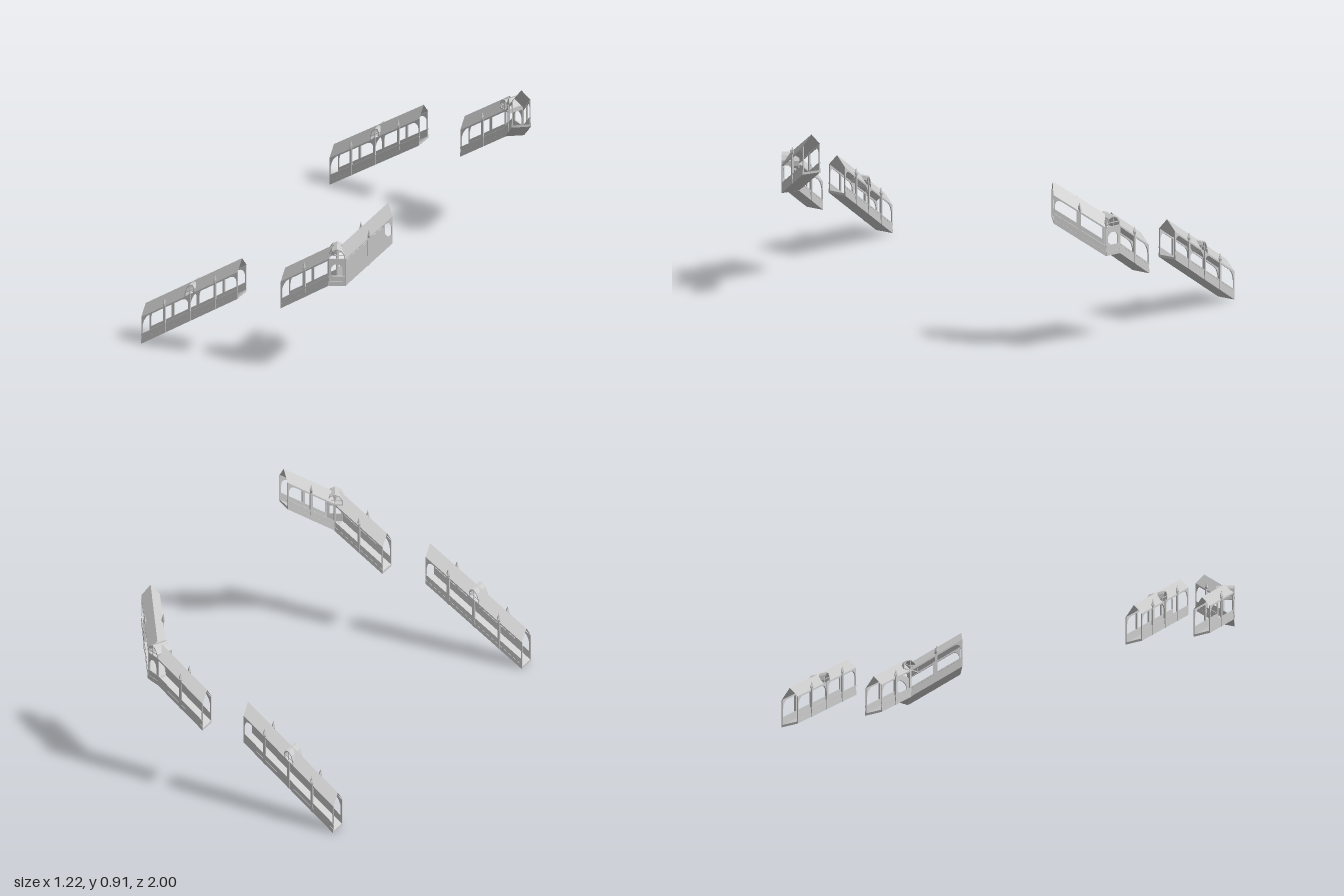
import * as THREE from 'three';

const mat = new THREE.MeshStandardMaterial({ color: 0xcccccc, flatShading: true, side: THREE.DoubleSide });
const HALF = 0.045, EAVE = 0.145, RIDGE = 0.2, T = 0.005;

// Sheared frame: u runs along the ramp, y stays vertical, w points outward
function makeFrame(p, q, outward) {
  const P = new THREE.Vector3(...p), d = new THREE.Vector3(...q).sub(P);
  const L = Math.hypot(d.x, d.z);
  const U = d.divideScalar(L);
  const W = outward ? new THREE.Vector3(...outward) : new THREE.Vector3(-U.z, 0, U.x);
  const M = new THREE.Matrix4().makeBasis(U, new THREE.Vector3(0, 1, 0), W).setPosition(P);
  return { L, M };
}

function add(group, name, geo, frame) {
  geo.applyMatrix4(frame.M);
  geo.computeVertexNormals();
  const mesh = new THREE.Mesh(geo, mat);
  mesh.name = name;
  group.add(mesh);
}

const box = (u0, u1, y0, y1, w0, w1) =>
  new THREE.BoxGeometry(u1 - u0, y1 - y0, w1 - w0).translate((u0 + u1) / 2, (y0 + y1) / 2, (w0 + w1) / 2);

const poly = pts => new THREE.Shape(pts.map(p => new THREE.Vector2(...p)));

const extrude = (shape, w0, depth) =>
  new THREE.ExtrudeGeometry(shape, { depth, bevelEnabled: false, curveSegments: 5 }).translate(0, 0, w0);

// Bay opening, with a curved bracket in the chosen top corners
function opening(a, b, curveLeft, curveRight) {
  const y0 = 0.052, y1 = 0.136, rx = 0.032, ry = 0.042;
  const s = new THREE.Path();
  s.moveTo(a, y0);
  s.lineTo(b, y0);
  if (curveRight) {
    s.lineTo(b, y1 - ry);
    s.quadraticCurveTo(b - 0.004, y1 - 0.006, b - rx, y1);
  } else s.lineTo(b, y1);
  if (curveLeft) {
    s.lineTo(a + rx, y1);
    s.quadraticCurveTo(a + 0.004, y1 - 0.006, a, y1 - ry);
  } else s.lineTo(a, y1);
  s.closePath();
  return s;
}

// Faceted arch outline of a roof vault
const archPoints = (c, r, base) => [
  [c - r, base], [c - r, 0.165], [c - r * 0.62, 0.188], [c, 0.198],
  [c + r * 0.62, 0.188], [c + r, 0.165], [c + r, base]];

// Open-ended vault crossing the roof, with slim bars at both mouths
function vault(group, frame, c, r, w0, w1) {
  const base = 0.14;
  const inner = archPoints(c, r - 0.004, base).map(([x, y]) => [x, y > base ? y - 0.004 : y]);
  add(group, 'roofVault', extrude(poly([...archPoints(c, r, base), ...inner.reverse()]), w0, w1 - w0), frame);
  for (const w of [w0, w1 - 0.004]) {
    add(group, 'vaultMullion', box(c - 0.0015, c + 0.0015, base, 0.195, w, w + 0.004), frame);
    add(group, 'vaultSill', box(c - r, c + r, base, base + 0.006, w, w + 0.004), frame);
    add(group, 'vaultBar', box(c - r, c + r, 0.163, 0.166, w, w + 0.004), frame);
  }
}

// Straight sloping gallery; stops are the post positions from 0 to 1
function gallery(name, frame, stops, curves, dormer) {
  const g = new THREE.Group(), L = frame.L;
  g.name = name;
  add(g, 'floor', box(0, L, 0, 0.012, -HALF, HALF), frame);

  for (const side of [-1, 1]) {
    // Wall with one opening per bay
    const wall = poly([[0, 0], [L, 0], [L, EAVE], [0, EAVE]]);
    for (let i = 0; i < stops.length - 1; i++)
      wall.holes.push(opening(stops[i] * L + 0.006, stops[i + 1] * L - 0.006, curves[i][0], curves[i][1]));
    add(g, 'sideWall', extrude(wall, side > 0 ? HALF - T : -HALF, T), frame);

    // Plinth and sill rail along the parapet
    const band = (n, y0, y1) =>
      add(g, n, box(0, L, y0, y1, side * HALF - 0.0015, side * HALF + 0.0015), frame);
    band('plinth', 0, 0.022);
    band('sillRail', 0.044, 0.052);

    // Posts with pointed finials
    stops.slice(1, -1).forEach((s, i) => {
      const u = s * L, w = side * HALF;
      add(g, 'post', box(u - 0.006, u + 0.006, 0, EAVE + 0.004, w - 0.004, w + 0.004), frame);
      if (dormer && i === 1) return;
      add(g, 'finialBase', new THREE.CylinderGeometry(0.009, 0.005, 0.012, 4).translate(u, EAVE + 0.008, w), frame);
      add(g, 'finial', new THREE.ConeGeometry(0.009, 0.032, 4).translate(u, EAVE + 0.03, w), frame);
    });

    // Roof slope, notched where the vault breaks through
    const notch = dormer ? archPoints(L / 2, 0.026, EAVE) : [];
    const slope = new THREE.ShapeGeometry(poly([[0, EAVE], ...notch, [L, EAVE], [L, RIDGE], [0, RIDGE]]));
    const pos = slope.attributes.position;
    for (let i = 0; i < pos.count; i++)
      pos.setZ(i, side * HALF * (RIDGE - pos.getY(i)) / (RIDGE - EAVE));
    add(g, 'roofSlope', slope, frame);
  }
  if (dormer) vault(g, frame, L / 2, 0.026, -HALF, HALF);
  return g;
}

// Level corner landing between two galleries
function landing(frame) {
  const g = new THREE.Group(), L = frame.L;
  g.name = 'cornerLanding';
  const floor = new THREE.ExtrudeGeometry(poly([[0, 0], [L, 0], [L / 2, 0.08]]), { depth: 0.012, bevelEnabled: false });
  add(g, 'landingFloor', floor.rotateX(-Math.PI / 2), frame);

  // Outer wall with a round-headed window
  const wall = poly([[0, 0], [L, 0], [L, EAVE], [0, EAVE]]);
  const hole = new THREE.Path(), r = 0.028;
  hole.moveTo(L / 2 - r, 0.052);
  hole.lineTo(L / 2 + r, 0.052);
  hole.lineTo(L / 2 + r, 0.088);
  hole.absarc(L / 2, 0.088, r, 0, Math.PI, false);
  hole.closePath();
  wall.holes.push(hole);
  add(g, 'landingWall', extrude(wall, -T, T), frame);
  add(g, 'landingPlinth', box(0, L, 0, 0.022, -0.001, 0.002), frame);
  add(g, 'landingSill', box(0, L, 0.044, 0.052, -0.001, 0.002), frame);
  add(g, 'innerCornerPost', box(L / 2 - 0.004, L / 2 + 0.004, 0, EAVE, -0.083, -0.076), frame);
  vault(g, frame, L / 2, L / 2, -0.084, 0.002);
  return g;
}

function buildSide(name) {
  const side = new THREE.Group();
  side.name = name;
  const z = [0, 0, 1];
  side.add(
    gallery('lowerGallery', makeFrame([-0.61, 0, 0.954], [-0.1, 0.352, 0.921], z), [0, 0.24, 0.5, 0.765, 1],
      [[true, false], [false, true], [true, false], [false, true]], true),
    gallery('middleGallery', makeFrame([0.13, 0.352, 0.91], [0.385, 0.53, 0.895], z), [0, 0.49, 1],
      [[true, false], [false, false]], false),
    landing(makeFrame([0.385, 0.53, 0.94], [0.455, 0.53, 0.905])),
    gallery('upperGallery', makeFrame([0.42, 0.53, 0.878], [0.568, 0.705, 0.673]), [0, 0.5, 1],
      [[false, false], [false, true]], false));
  return side;
}

export function createModel() {
  const model = new THREE.Group();
  model.name = 'coveredRampGalleries';
  const front = buildSide('frontGalleries');
  const back = buildSide('backGalleries');
  back.scale.z = -1;
  model.add(front, back);
  return model;
}
